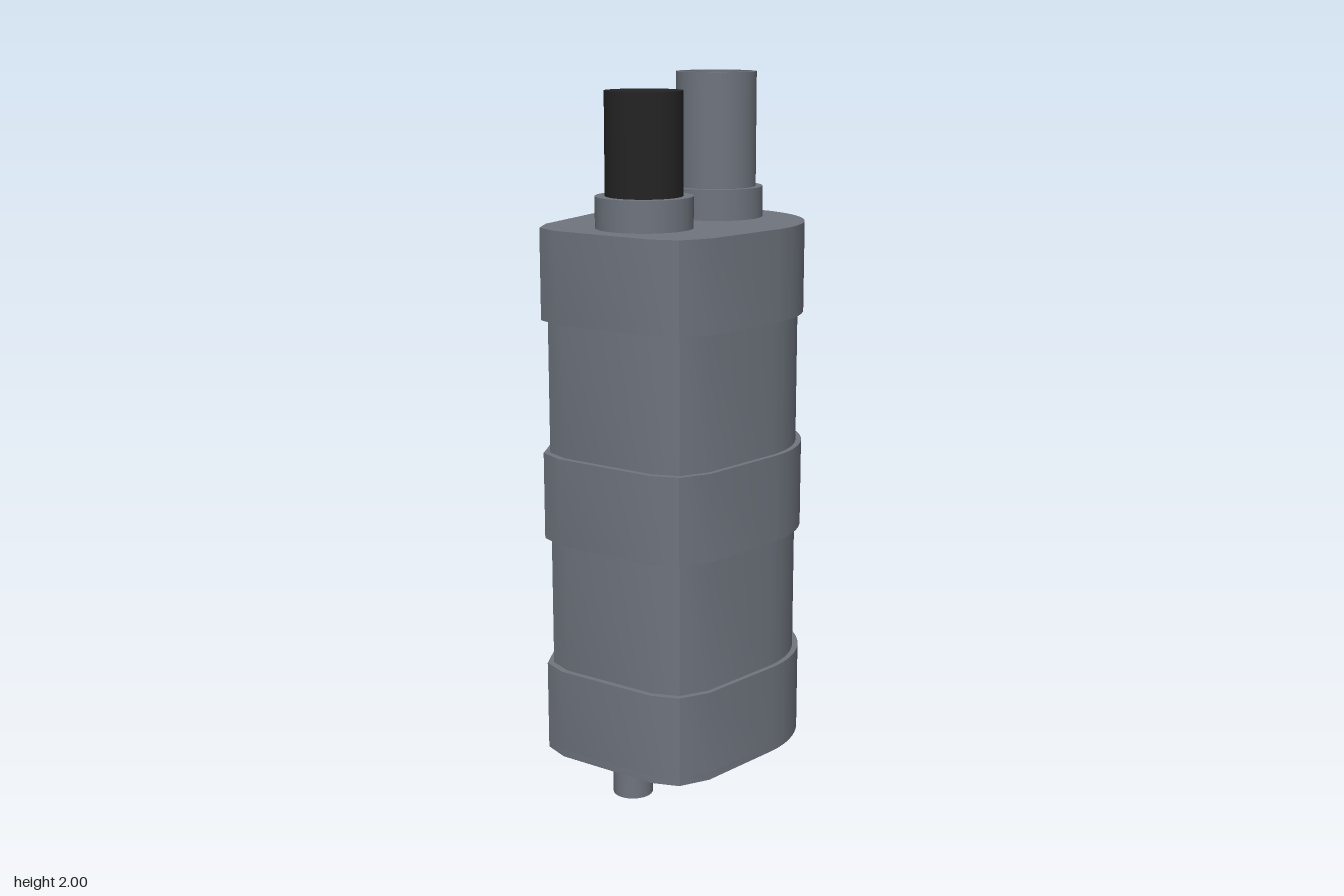
import * as THREE from 'three';
import { toCreasedNormals } from 'three/addons/utils/BufferGeometryUtils.js';

// Body outline: a round back with a faceted front (shape y is -z)
function outline(s) {
  const shape = new THREE.Shape();
  shape.absarc(0.003 * s, 0.06 * s, 0.316 * s, -0.335, Math.PI - 0.08, false);
  const corners = [[-0.322, -0.18], [-0.297, -0.265], [-0.228, -0.31], [0.07, -0.372], [0.15, -0.36], [0.21, -0.29]];
  corners.forEach(([x, y]) => shape.lineTo(x * s, y * s));
  shape.closePath();
  return shape;
}

// Straight slot between two points
function straightSlot(a, b, width) {
  const p = new THREE.Vector2(...a), q = new THREE.Vector2(...b);
  const d = q.clone().sub(p).normalize().multiplyScalar(width / 2);
  const n = new THREE.Vector2(-d.y, d.x);
  return new THREE.Path([p.clone().add(n), q.clone().add(n), q.clone().sub(n), p.clone().sub(n)]);
}

// Curved slot following the front edge
function curvedSlot(r, width, from, to) {
  const path = new THREE.Path();
  path.absarc(0, 0.01, r + width / 2, from, to, true);
  path.absarc(0, 0.01, r - width / 2, to, from, false);
  path.closePath();
  return path;
}

export function createModel() {
  const model = new THREE.Group();
  const grey = new THREE.MeshStandardMaterial({ color: 0x6f757f });
  grey.name = 'slate grey';
  const black = new THREE.MeshStandardMaterial({ color: 0x242424 });
  black.name = 'cable black';

  function add(name, geometry, material, x = 0, y = 0, z = 0) {
    const mesh = new THREE.Mesh(geometry, material);
    mesh.name = name;
    mesh.position.set(x, y, z);
    model.add(mesh);
  }
  function slab(name, shape, y0, y1) {
    const geo = new THREE.ExtrudeGeometry(shape, { depth: y1 - y0, bevelEnabled: false, curveSegments: 40 });
    geo.rotateX(-Math.PI / 2);
    add(name, toCreasedNormals(geo, 0.6), grey, 0, y0, 0);
  }
  function rod(name, r, y0, y1, x, z, material) {
    add(name, new THREE.CylinderGeometry(r, r, y1 - y0, 40), material, x, (y0 + y1) / 2, z);
  }
  // Open pipe with wall thickness
  function pipe(name, inner, outer, y0, y1, x, z) {
    const points = [[inner, y0], [outer, y0], [outer, y1], [inner, y1], [inner, y0]];
    const geo = new THREE.LatheGeometry(points.map(p => new THREE.Vector2(...p)), 48);
    add(name, toCreasedNormals(geo, 0.6), grey, x, 0, z);
  }

  // Casing: narrow sections between three wider bands
  slab('lowerCasing', outline(0.953), 0.365, 0.735);
  slab('upperCasing', outline(0.953), 0.98, 1.35);
  slab('bottomBand', outline(1), 0.13, 0.365);
  slab('middleBand', outline(1), 0.735, 0.98);
  slab('topBand', outline(1), 1.35, 1.6);

  // Base plate with slots
  const base = outline(1);
  base.holes.push(
    curvedSlot(0.288, 0.03, -0.92, -2.85),
    straightSlot([-0.076, 0.16], [-0.155, 0.288], 0.02),
    straightSlot([0.145, 0.105], [0.255, 0.145], 0.02)
  );
  slab('basePlate', base, 0.11, 0.13);
  pipe('baseRing', 0.08, 0.093, 0.098, 0.111, 0, -0.01);

  // Feet
  rod('frontFoot', 0.056, 0, 0.115, -0.053, 0.22, grey);
  rod('rearFoot', 0.056, 0, 0.115, 0.045, -0.257, grey);

  // Top fittings
  rod('cableCollar', 0.132, 1.595, 1.685, -0.04, 0.153, grey);
  rod('cable', 0.105, 1.68, 1.96, -0.04, 0.153, black);
  pipe('outletCollar', 0.105, 0.132, 1.595, 1.685, 0.03, -0.18);
  pipe('outletPipe', 0.092, 0.112, 1.595, 2, 0.03, -0.18);

  return model;
}
